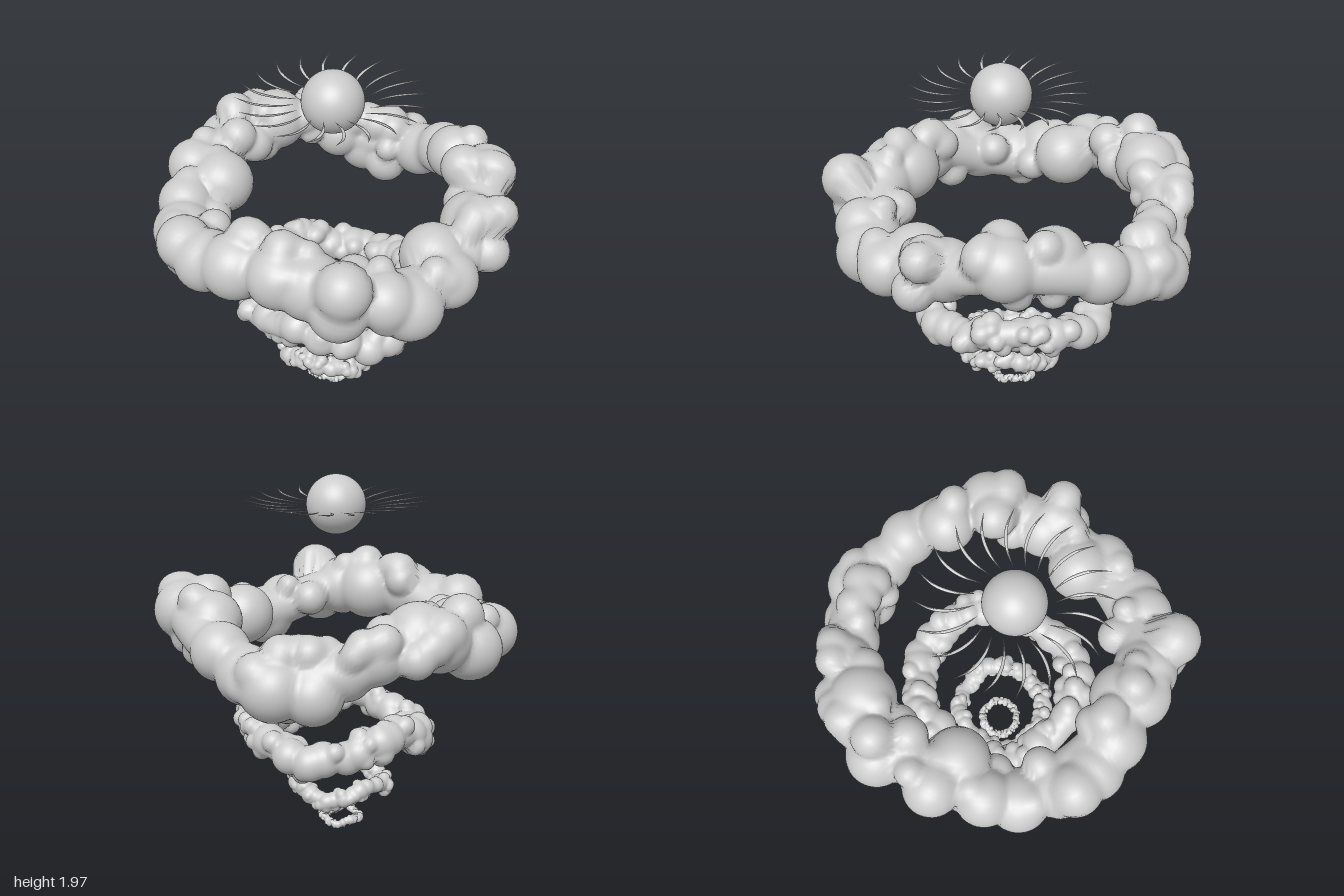
import * as THREE from 'three';

const material = new THREE.MeshStandardMaterial({ color: 0xcccccc });
const MAJOR = 0.76; // centre-line radius of a full-size ring

function seeded(seed) {
  let s = seed;
  return () => {
    s = (s * 16807) % 2147483647;
    return s / 2147483647;
  };
}

// the rings rise and dip three times per turn, a little lower at the front
const wave = (a) => -0.09 * Math.sin(3 * a) - 0.03 * Math.sin(a);

// main puffs of the largest ring: x, y, z, radius
const mainPuffs = [
  [0.03, -0.09, -0.83, 0.16], [0.0, -0.17, -0.72, 0.12], [-0.15, -0.12, -0.77, 0.15],
  [-0.28, -0.02, -0.68, 0.14], [-0.42, 0.06, -0.64, 0.14], [-0.57, 0.12, -0.45, 0.17],
  [-0.67, 0.10, -0.42, 0.16], [-0.75, 0.20, -0.30, 0.11], [-0.79, 0.03, -0.27, 0.16],
  [-0.74, 0.05, -0.12, 0.13], [-0.82, 0.03, 0.05, 0.15], [-0.63, 0.0, 0.10, 0.17],
  [-0.74, -0.04, 0.30, 0.15], [-0.67, -0.10, 0.46, 0.16], [-0.52, -0.07, 0.62, 0.16],
  [-0.52, 0.02, 0.70, 0.14], [-0.38, -0.02, 0.74, 0.16], [-0.20, 0.02, 0.77, 0.17],
  [0.03, 0.03, 0.73, 0.18], [0.05, 0.05, 0.80, 0.16], [0.20, 0.02, 0.77, 0.17],
  [0.40, 0.10, 0.84, 0.14], [0.36, -0.06, 0.80, 0.15], [0.53, -0.06, 0.64, 0.15],
  [0.62, -0.14, 0.54, 0.17], [0.62, -0.05, 0.22, 0.17], [0.74, -0.09, 0.32, 0.15],
  [0.88, 0.13, 0.0, 0.10], [0.73, 0.02, -0.04, 0.16], [0.86, -0.06, 0.06, 0.11],
  [0.70, 0.12, -0.36, 0.16], [0.60, 0.18, -0.28, 0.12], [0.48, 0.12, -0.50, 0.15],
  [0.36, 0.02, -0.68, 0.15], [0.20, -0.06, -0.75, 0.15],
];

function randomPuffs(rand) {
  return Array.from({ length: 32 }, (_, i) => {
    const a = ((i + 0.7 * (rand() - 0.5)) / 32) * Math.PI * 2;
    const R = MAJOR + 0.12 * (rand() - 0.5);
    return [R * Math.cos(a), wave(a) + 0.08 * (rand() - 0.5), R * Math.sin(a), 0.13 + 0.04 * rand()];
  });
}

// smaller bumps sitting around the tube
function bumpPuffs(rand, count) {
  return Array.from({ length: count }, () => {
    const a = rand() * Math.PI * 2, v = rand() * Math.PI * 2;
    const R = MAJOR + 0.11 * Math.cos(v);
    return [R * Math.cos(a), wave(a) + 0.12 * Math.sin(v), R * Math.sin(a), 0.07 + 0.035 * rand()];
  });
}

// full-size cloud ring: a torus pushed out to the surface of overlapping puffs
function cloudRingGeometry(puffs, nu = 280, nv = 48) {
  const blobs = puffs.map(([x, y, z, r]) => ({ c: new THREE.Vector3(x, y, z), r }));
  const pos = [], index = [];
  const centre = new THREE.Vector3(), dir = new THREE.Vector3(), q = new THREE.Vector3();
  for (let i = 0; i < nu; i++) {
    const a = (i / nu) * Math.PI * 2;
    centre.set(MAJOR * Math.cos(a), wave(a), MAJOR * Math.sin(a));
    const near = blobs.filter((b) => b.c.distanceTo(centre) < 0.4);
    for (let j = 0; j < nv; j++) {
      const v = (j / nv) * Math.PI * 2;
      dir.set(Math.cos(v) * Math.cos(a), Math.sin(v), Math.cos(v) * Math.sin(a));
      // soft maximum of the distances at which the ray leaves each puff
      let sum = Math.pow(0.12, 24);
      for (const b of near) {
        q.subVectors(b.c, centre);
        const along = dir.dot(q);
        const disc = along * along - q.lengthSq() + b.r * b.r;
        if (disc > 0) sum += Math.pow(Math.max(0, along + Math.sqrt(disc)), 24);
      }
      const t = Math.pow(sum, 1 / 24);
      pos.push(centre.x + dir.x * t, centre.y + dir.y * t, centre.z + dir.z * t);
      const i2 = ((i + 1) % nu) * nv, j2 = (j + 1) % nv;
      const p00 = i * nv + j, p01 = i * nv + j2, p10 = i2 + j, p11 = i2 + j2;
      index.push(p00, p01, p10, p01, p11, p10);
    }
  }
  const g = new THREE.BufferGeometry();
  g.setAttribute('position', new THREE.Float32BufferAttribute(pos, 3));
  g.setIndex(index);
  g.computeVertexNormals();
  return g;
}

// thin, flattened, curved ray, pointed at both ends
function rayGeometry() {
  const curve = new THREE.CatmullRomCurve3([
    new THREE.Vector3(0.185, -0.012, 0.0),
    new THREE.Vector3(0.29, 0.0, -0.03),
    new THREE.Vector3(0.39, 0.012, -0.026),
    new THREE.Vector3(0.485, 0.032, 0.015),
  ]);
  const n = 20, sides = 6;
  const g = new THREE.TubeGeometry(curve, n, 0.009, sides);
  const p = g.attributes.position, v = new THREE.Vector3();
  for (let i = 0; i <= n; i++) {
    const c = curve.getPointAt(i / n);
    const k = Math.sin((Math.PI * i) / n);
    for (let j = 0; j <= sides; j++) {
      const id = i * (sides + 1) + j;
      v.fromBufferAttribute(p, id).sub(c).multiplyScalar(k);
      v.y *= 0.4;
      v.add(c);
      p.setXYZ(id, v.x, v.y, v.z);
    }
  }
  g.computeVertexNormals();
  return g;
}

export function createModel() {
  const model = new THREE.Group();
  model.name = 'cloudRingsWithSun';

  // four cloud rings, shrinking towards the ground: scale and centre
  const rings = [
    { name: 'largeCloudRing', s: 1, at: [0, 1.185, 0], seed: 11, bumps: 60 },
    { name: 'mediumCloudRing', s: 0.59, at: [0, 0.605, 0.02], seed: 27, bumps: 100 },
    { name: 'smallCloudRing', s: 0.325, at: [-0.01, 0.265, 0.065], seed: 53, bumps: 110 },
    { name: 'tinyCloudRing', s: 0.138, at: [-0.02, 0.047, 0.055], seed: 91, bumps: 120 },
  ];
  rings.forEach(({ name, s, at, seed, bumps }, i) => {
    const rand = seeded(seed * 7919);
    const puffs = i === 0 ? mainPuffs : randomPuffs(rand);
    const ring = new THREE.Mesh(cloudRingGeometry([...puffs, ...bumpPuffs(rand, bumps)]), material);
    ring.name = name;
    ring.scale.setScalar(s);
    ring.position.set(...at);
    model.add(ring);
  });

  // sun ball with its crown of rays
  const sun = new THREE.Group();
  sun.name = 'sun';
  sun.position.set(0.025, 1.818, 0.1);
  const ball = new THREE.Mesh(new THREE.SphereGeometry(0.158, 48, 32), material);
  ball.name = 'sunBall';
  sun.add(ball);
  const rayGeo = rayGeometry();
  const rayCount = 20;
  for (let i = 0; i < rayCount; i++) {
    const ray = new THREE.Mesh(rayGeo, material);
    ray.name = 'sunRay';
    ray.rotation.y = ((i + 0.5) / rayCount) * Math.PI * 2;
    sun.add(ray);
  }
  model.add(sun);
  return model;
}
